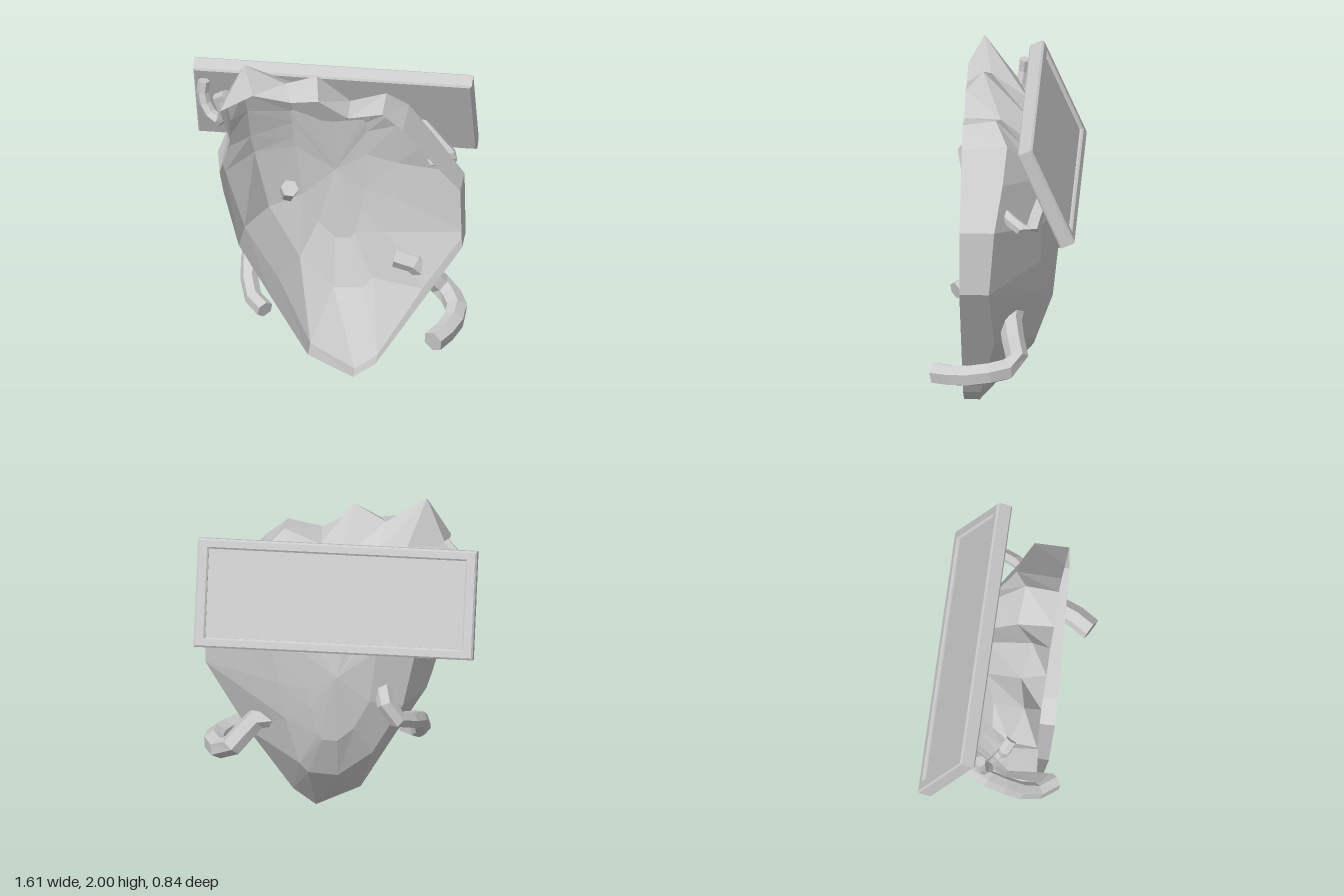
import * as THREE from 'three';

const material = new THREE.MeshStandardMaterial({ color: 0xcccccc, flatShading: true, side: THREE.DoubleSide });

// Shell cross-sections, counter-clockwise from the bottom tip
const RIM = [ // x, y on the flat front plane
  [0.16, 0], [0.29, 0.1], [0.54, 0.51], [0.79, 0.92], [0.78, 1.3], [0.6, 1.5], [0.45, 1.68], [0.33, 1.78], [0.13, 1.74],
  [-0.04, 1.84], [-0.2, 1.82], [-0.42, 1.85], [-0.61, 1.73], [-0.55, 1.54], [-0.61, 1.32], [-0.58, 1.24], [-0.5, 0.84],
  [-0.3, 0.48], [-0.1, 0.13],
];
const SHOULDER = [
  [0.16, 0, 0.15], [0.29, 0.1, 0.14], [0.54, 0.51, 0.05], [0.79, 0.92, 0.07], [0.78, 1.3, 0.04], [0.6, 1.52, 0],
  [0.45, 1.7, -0.02], [0.33, 1.81, 0.05], [0.12, 1.73, 0.03], [-0.06, 1.95, 0.14], [-0.25, 1.86, 0.1], [-0.48, 2, 0.15],
  [-0.6, 1.73, 0.08], [-0.57, 1.55, 0.04], [-0.64, 1.36, 0.08], [-0.6, 1.22, 0.06], [-0.49, 0.84, 0.04], [-0.29, 0.5, 0.04],
  [-0.1, 0.14, 0.13],
];
const BACK = [
  [0.17, 0.36, -0.16], [0.22, 0.42, -0.17], [0.3, 0.72, -0.2], [0.34, 0.95, -0.21], [0.37, 1.18, -0.21], [0.36, 1.46, -0.17],
  [0.36, 1.59, -0.12], [0.3, 1.65, -0.1], [0.12, 1.6, -0.13], [0, 1.7, -0.12], [-0.2, 1.73, -0.11], [-0.39, 1.78, -0.04],
  [-0.51, 1.7, -0.03], [-0.49, 1.54, -0.09], [-0.48, 1.34, -0.14], [-0.46, 1.22, -0.17], [-0.38, 0.84, -0.2],
  [-0.2, 0.52, -0.19], [0, 0.35, -0.16],
];

function shellGeometry() {
  const n = RIM.length;
  const apex = [-0.01, 1.05, -0.31];
  const rim = RIM.map(([x, y], i) => [x, y, i === 15 ? 0.31 : 0.24]);
  // Inner ring gathers towards an upright spine
  const inner = BACK.map(([x, y, z]) => [
    x + (apex[0] - x) * 0.5,
    y + (THREE.MathUtils.clamp(y, 0.95, 1.2) - y) * 0.45,
    z + (apex[2] - z) * 0.7,
  ]);
  const rings = [rim, SHOULDER, BACK, inner];
  const index = [];
  for (let r = 0; r < rings.length - 1; r++) {
    for (let i = 0; i < n; i++) {
      const j = (i + 1) % n;
      const a = r * n + i, b = r * n + j, c = a + n, d = b + n;
      index.push(a, c, b, b, c, d);
    }
  }
  const last = (rings.length - 1) * n;
  for (let i = 0; i < n; i++) index.push(last + i, rings.length * n, last + (i + 1) % n);
  const geometry = new THREE.BufferGeometry();
  geometry.setAttribute('position', new THREE.Float32BufferAttribute([...rings.flat(2), ...apex], 3));
  geometry.setIndex(index);
  geometry.computeVertexNormals();
  return geometry;
}

// Six-sided bent root with closed ends
function root(name, points, radius) {
  const group = new THREE.Group();
  group.name = name;
  const curve = new THREE.CatmullRomCurve3(points.map((p) => new THREE.Vector3(...p)));
  const segments = points.length + 1;
  group.add(new THREE.Mesh(new THREE.TubeGeometry(curve, segments, radius, 6), material));
  const { normals, binormals } = curve.computeFrenetFrames(segments);
  for (const t of [0, 1]) {
    const k = t * segments;
    const cap = new THREE.Mesh(new THREE.CircleGeometry(radius, 6), material);
    const basis = new THREE.Matrix4().makeBasis(normals[k], binormals[k], curve.getTangentAt(t));
    cap.quaternion.setFromRotationMatrix(basis);
    cap.position.copy(curve.getPointAt(t));
    group.add(cap);
  }
  group.children.forEach((m) => { m.name = name; });
  return group;
}

function rectangle(shape, w, h) {
  shape.moveTo(-w, -h);
  shape.lineTo(w, -h);
  shape.lineTo(w, h);
  shape.lineTo(-w, h);
  shape.closePath();
  return shape;
}

// Tilted board: plain front, shallow framed recess in its back
function board() {
  const group = new THREE.Group();
  group.name = 'board';
  const bevel = 0.01;
  const outline = rectangle(new THREE.Shape(), 0.805 - bevel, 0.313 - bevel);
  outline.holes.push(rectangle(new THREE.Path(), 0.74 + bevel, 0.255 + bevel));
  const frame = new THREE.Mesh(new THREE.ExtrudeGeometry(outline, {
    depth: 0.094 - 2 * bevel, bevelThickness: bevel, bevelSize: bevel, bevelSegments: 1,
  }), material);
  frame.name = 'boardFrame';
  frame.position.z = -0.047 + bevel;
  const panel = new THREE.Mesh(new THREE.BoxGeometry(1.585, 0.606, 0.074), material);
  panel.name = 'boardPanel';
  panel.position.z = 0.01;
  group.add(frame, panel);
  group.position.set(0, 1.53, -0.258);
  group.rotation.x = 0.41;
  return group;
}

export function createModel() {
  const model = new THREE.Group();
  model.name = 'shellWithBoard';

  const shell = new THREE.Mesh(shellGeometry(), material);
  shell.name = 'shell';
  model.add(shell, board());

  // Roots piercing the shell
  model.add(
    root('lowerLeftRoot', [[0.37, 0.655, -0.05], [0.47, 0.635, -0.04], [0.56, 0.54, -0.06], [0.65, 0.44, -0.08],
      [0.74, 0.41, 0.08], [0.72, 0.385, 0.24], [0.64, 0.365, 0.385]], 0.065),
    root('lowerRightRoot', [[-0.26, 0.97, -0.2], [-0.29, 0.88, -0.28], [-0.36, 0.78, -0.27], [-0.45, 0.71, -0.1],
      [-0.46, 0.6, 0.06], [-0.43, 0.49, 0.2], [-0.34, 0.46, 0.31]], 0.052),
    root('upperRightRoot', [[-0.74, 1.74, -0.07], [-0.745, 1.64, -0.06], [-0.7, 1.55, -0.03], [-0.63, 1.53, 0.02],
      [-0.61, 1.63, 0.06], [-0.64, 1.71, 0.06], [-0.59, 1.75, 0.09]], 0.035),
    root('upperLeftRoot', [[0.59, 1.36, 0.01], [0.67, 1.31, -0.08], [0.69, 1.27, -0.16], [0.6, 1.35, -0.2],
      [0.49, 1.45, -0.25]], 0.038),
  );
  return model;
}
